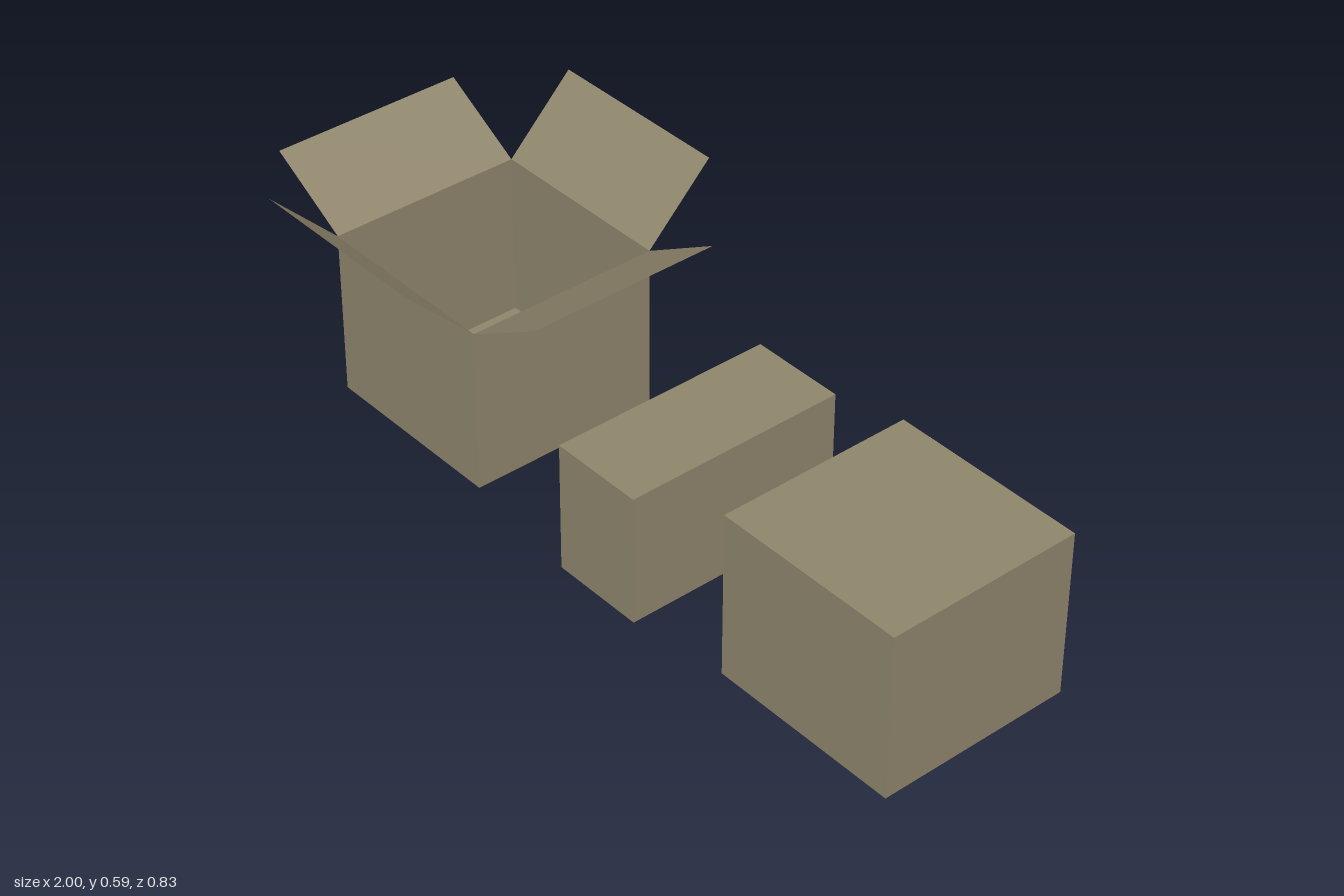
import * as THREE from 'three';

const SIZE = 0.49;    // footprint of the square cartons
const HEIGHT = 0.415; // height of the square cartons

export function createModel() {
  const model = new THREE.Group();
  model.name = 'cardboardBoxes';
  const card = new THREE.MeshStandardMaterial({ color: 0x8f856c });
  const thinCard = new THREE.MeshStandardMaterial({ color: 0x8f856c, side: THREE.DoubleSide });

  const add = (parent, name, geometry, material) => {
    const mesh = new THREE.Mesh(geometry, material);
    mesh.name = name;
    parent.add(mesh);
    return mesh;
  };

  // Closed cartons, standing on the ground
  const closedBox = (name, w, h, d, x) =>
    add(model, name, new THREE.BoxGeometry(w, h, d), card).position.set(x, h / 2, 0);
  closedBox('smallClosedBox', 0.24, 0.327, 0.56, 0.15);
  closedBox('largeClosedBox', SIZE, HEIGHT, SIZE, 0.755);

  // Open carton: floor, then a thin wall and hinged flap on each side
  const openBox = new THREE.Group();
  openBox.name = 'openBox';
  openBox.position.x = -0.545;
  model.add(openBox);
  add(openBox, 'floor', new THREE.PlaneGeometry(SIZE, SIZE).rotateX(Math.PI / 2), thinCard);

  ['front', 'left', 'back', 'right'].forEach((side, i) => {
    const panel = new THREE.Group();
    panel.name = side + 'Side';
    panel.rotation.y = i * Math.PI / 2;
    openBox.add(panel);

    add(panel, side + 'Wall', new THREE.PlaneGeometry(SIZE, HEIGHT), thinCard)
      .position.set(0, HEIGHT / 2, SIZE / 2);

    // Front and back flaps stand at 45 degrees, the side flaps lie lower at 30
    const lean = i % 2 ? Math.PI / 3 : Math.PI / 4;
    const length = 0.243;
    const flap = add(panel, side + 'Flap',
      new THREE.PlaneGeometry(SIZE, length).translate(0, length / 2, 0), thinCard);
    flap.position.set(0, HEIGHT, SIZE / 2);
    flap.rotation.x = lean;
  });

  return model;
}
